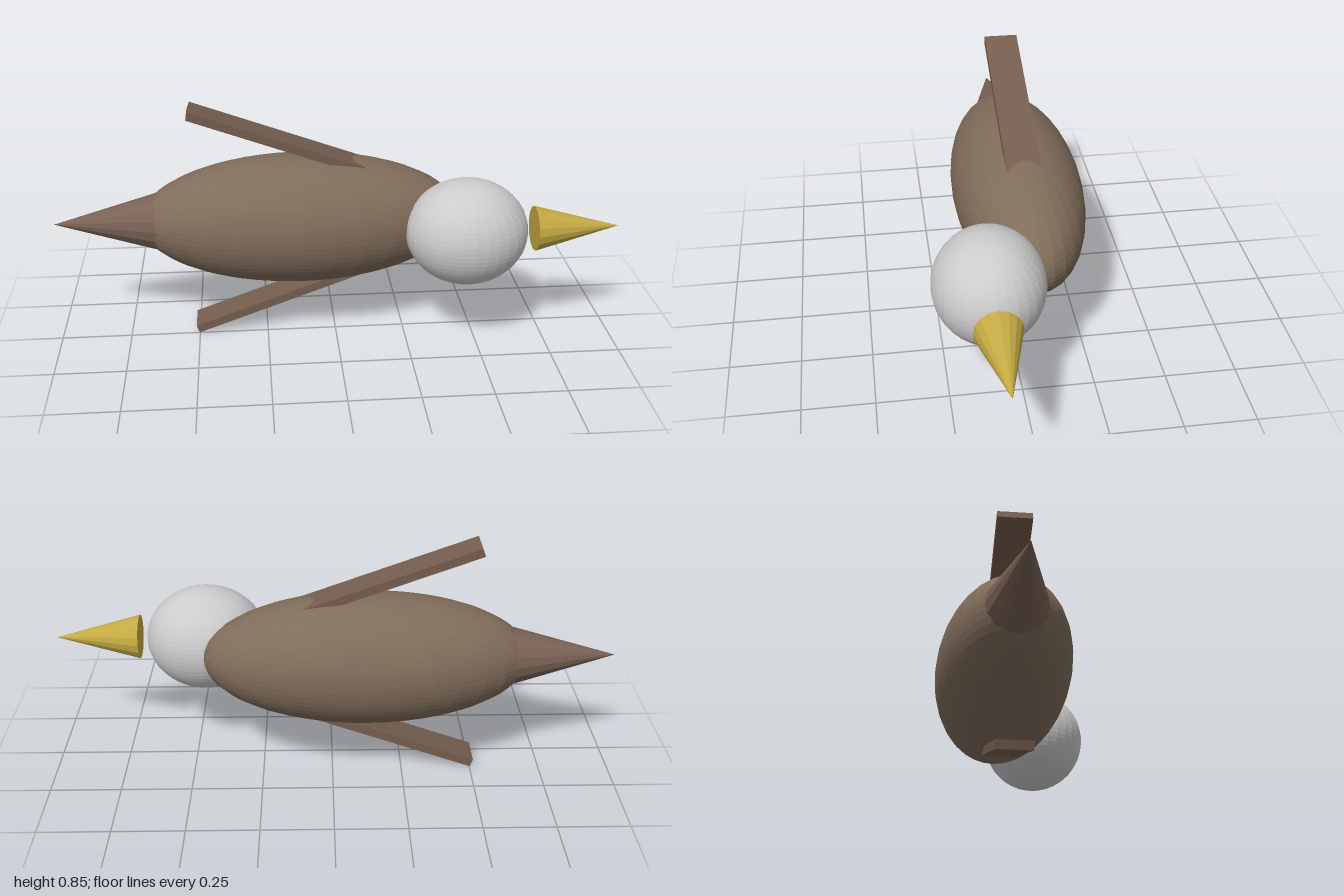
import * as THREE from 'three';

const MID_Y = 0.427;

function part(name, geometry, color, x, y, z) {
  const material = new THREE.MeshStandardMaterial({ color, flatShading: true });
  const mesh = new THREE.Mesh(geometry, material);
  mesh.name = name;
  mesh.position.set(x, y, z);
  return mesh;
}

// Sphere stretched along x
function ellipsoid(rx, r) {
  return new THREE.SphereGeometry(1, 32, 32).scale(rx, r, r);
}

// Cone along x; dir is the side its tip points to
function coneX(radius, length, dir) {
  return new THREE.ConeGeometry(radius, length, 16).rotateZ(-dir * Math.PI / 2);
}

export function createModel() {
  const bird = new THREE.Group();
  bird.name = 'bird';

  // Body, head, beak and tail
  bird.add(part('body', ellipsoid(0.575, 0.234), 0x806c5a, -0.12, MID_Y, -0.065));
  bird.add(part('head', ellipsoid(0.215, 0.189), 0xcccccc, 0.455, MID_Y, 0.108));
  bird.add(part('beak', coneX(0.08, 0.303, 1), 0xc4aa44, 0.8485, MID_Y, 0.108));
  bird.add(part('tail', coneX(0.112, 0.4, -1), 0x7a6255, -0.8, MID_Y, -0.065));

  // Swept wings, mirrored above and below the body
  const length = 0.68, sweep = 0.348;
  for (const side of [1, -1]) {
    const wing = part(
      side > 0 ? 'rightWing' : 'leftWing',
      new THREE.BoxGeometry(length, 0.03, 0.12),
      0x755e4f,
      -0.507 + Math.cos(sweep) * length / 2,
      MID_Y + side * (0.413 - Math.sin(sweep) * length / 2),
      -0.06
    );
    wing.rotation.z = -side * sweep;
    bird.add(wing);
  }
  return bird;
}
